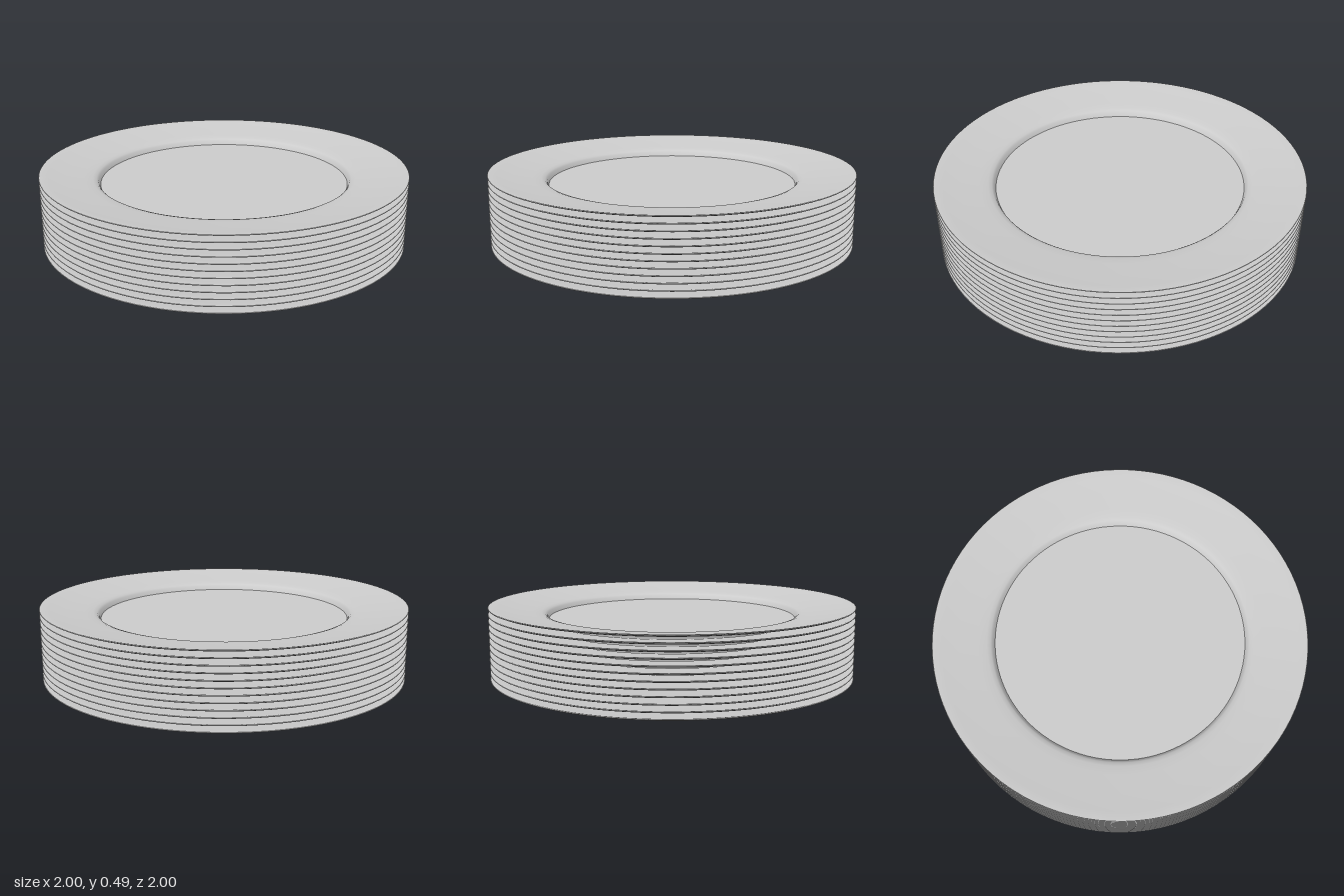
import * as THREE from 'three';
import { toCreasedNormals } from 'three/addons/utils/BufferGeometryUtils.js';

const PLATES = 12;
const SPACING = 0.035;

// Half cross-section of one plate: [radius, height]
const profile = [
  // underside and foot
  [0, 0], [0.6, 0], [0.672, 0], [0.679, 0.005], [0.682, 0.03],
  [0.687, 0.04], [0.7, 0.047],
  // underside of the rim
  [0.76, 0.055], [0.86, 0.069], [0.95, 0.084], [0.985, 0.092],
  // rounded lip
  [0.997, 0.097], [1, 0.1], [0.998, 0.102], [0.99, 0.102],
  // top of the rim
  [0.95, 0.095], [0.86, 0.082], [0.76, 0.069], [0.715, 0.063],
  // wall down into the flat well
  [0.695, 0.057], [0.685, 0.048], [0.675, 0.027], [0, 0.027],
];

export function createModel() {
  const group = new THREE.Group();
  group.name = 'plateStack';

  const points = profile.map(([r, y]) => new THREE.Vector2(r, y));
  const geometry = toCreasedNormals(new THREE.LatheGeometry(points, 96), 0.75);
  const material = new THREE.MeshStandardMaterial({ color: 0xcccccc });

  // Identical nested plates
  for (let i = 0; i < PLATES; i++) {
    const plate = new THREE.Mesh(geometry, material);
    plate.name = `plate${i + 1}`;
    plate.position.y = i * SPACING;
    group.add(plate);
  }
  return group;
}
